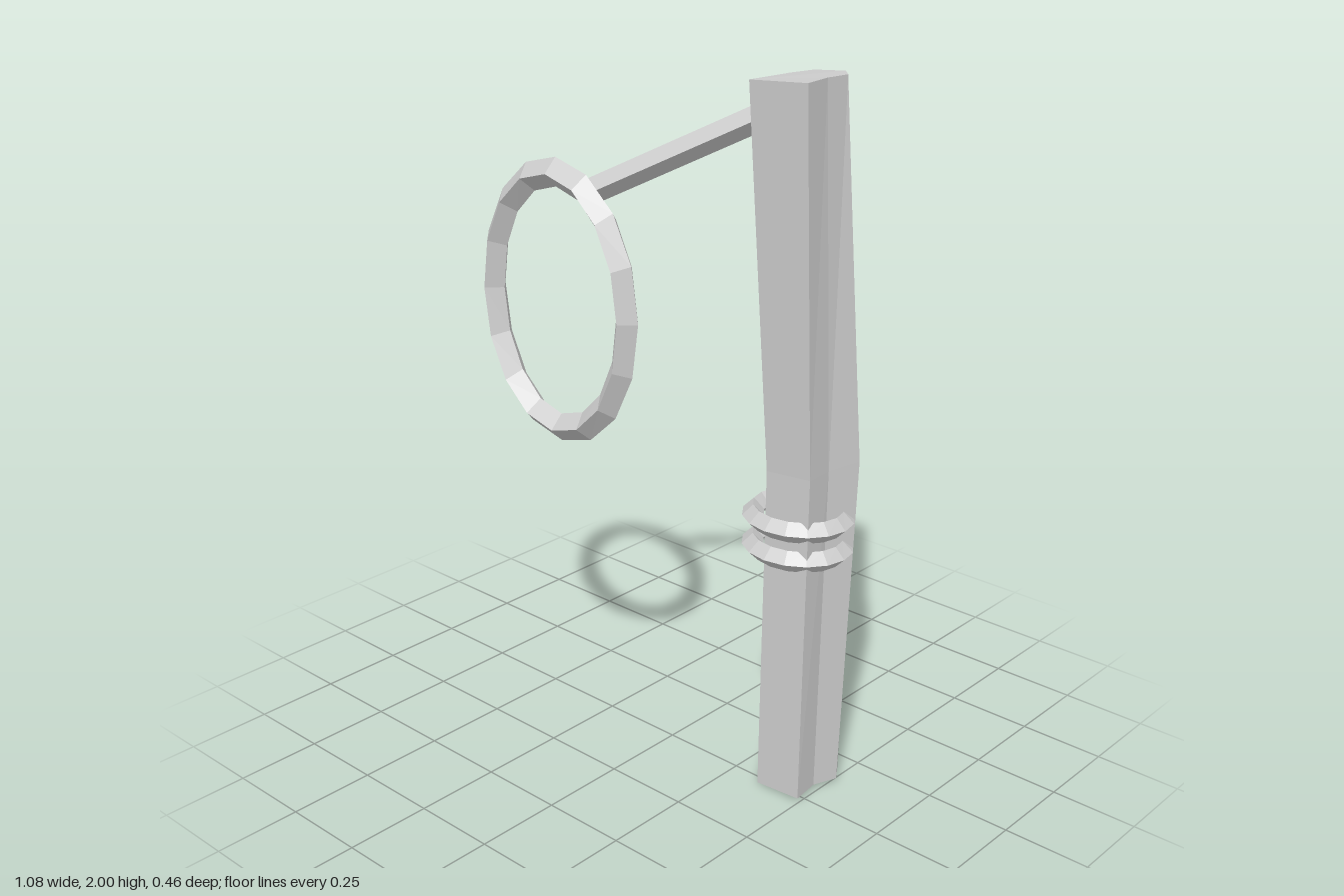
import * as THREE from 'three';

const stone = new THREE.MeshStandardMaterial({ color: 0xcccccc, flatShading: true });
stone.name = 'pale grey';

function addMesh(group, name, geometry) {
  const mesh = new THREE.Mesh(geometry, stone);
  mesh.name = name;
  group.add(mesh);
  return mesh;
}

// Joins [x, y, z] cross-sections of equal count, listed from bottom to top, and caps both ends
function loft(sections) {
  const n = sections[0].length;
  const index = [];
  for (let s = 0; s < sections.length - 1; s++) {
    for (let i = 0; i < n; i++) {
      const a = s * n + i, b = s * n + (i + 1) % n;
      index.push(a, b, b + n, a, b + n, a + n);
    }
  }
  const top = (sections.length - 1) * n;
  const outline = sections[0].map(p => new THREE.Vector2(p[0], -p[2]));
  for (const [a, b, c] of THREE.ShapeUtils.triangulateShape(outline, [])) {
    index.push(a, c, b, top + a, top + b, top + c);
  }
  const geometry = new THREE.BufferGeometry();
  geometry.setAttribute('position', new THREE.Float32BufferAttribute(sections.flat(2), 3));
  geometry.setIndex(index);
  const faceted = geometry.toNonIndexed();
  faceted.computeVertexNormals();
  return faceted;
}

// Oval ring in the xy plane with a diamond-shaped tube of even thickness
function ovalRing(rx, ry, tube) {
  const geometry = new THREE.TorusGeometry(1, tube, 4, 16);
  const p = geometry.attributes.position;
  for (let i = 0; i < p.count; i++) {
    const x = p.getX(i), y = p.getY(i), r = Math.hypot(x, y);
    p.setXY(i, x / r * (rx + r - 1), y / r * (ry + r - 1));
  }
  geometry.computeVertexNormals();
  return geometry;
}

export function createModel() {
  const model = new THREE.Group();
  model.name = 'postWithHoop';

  // Bent, roughly hewn post: base, bend and top outlines, from front left anticlockwise
  addMesh(model, 'post', loft([
    [[0.35, 0, 0.025], [0.495, 0.01, 0.025], [0.485, 0.01, -0.06], [0.512, 0.01, -0.13],
      [0.48, 0.01, -0.178], [0.375, 0, -0.18], [0.357, 0, -0.12]],
    [[0.34, 0.95, 0], [0.482, 0.96, -0.005], [0.478, 0.96, -0.09], [0.512, 0.97, -0.18],
      [0.475, 0.97, -0.213], [0.35, 0.96, -0.213], [0.315, 0.95, -0.175]],
    [[0.295, 1.99, 0.045], [0.468, 2, 0.032], [0.456, 2, -0.06], [0.465, 2, -0.13],
      [0.43, 2, -0.167], [0.325, 1.99, -0.175], [0.308, 1.99, -0.1]],
  ]));

  // Two bands around the post
  for (const y of [0.72, 0.805]) {
    const band = addMesh(model, 'band', ovalRing(0.13, 0.115, 0.03));
    band.rotation.x = Math.PI / 2;
    band.position.set(0.38, y, -0.09);
  }

  // Slanting arm from the post to the hoop
  const start = new THREE.Vector3(0.36, 1.935, -0.095);
  const end = new THREE.Vector3(-0.15, 1.658, 0.15);
  const armGeometry = new THREE.CylinderGeometry(0.035, 0.035, start.distanceTo(end), 4);
  armGeometry.rotateX(Math.PI / 2);
  const arm = addMesh(model, 'arm', armGeometry);
  arm.position.copy(start).lerp(end, 0.5);
  arm.lookAt(end);

  // Upright oval hoop
  addMesh(model, 'hoop', ovalRing(0.257, 0.362, 0.04)).position.set(-0.245, 1.34, 0.19);

  return model;
}
